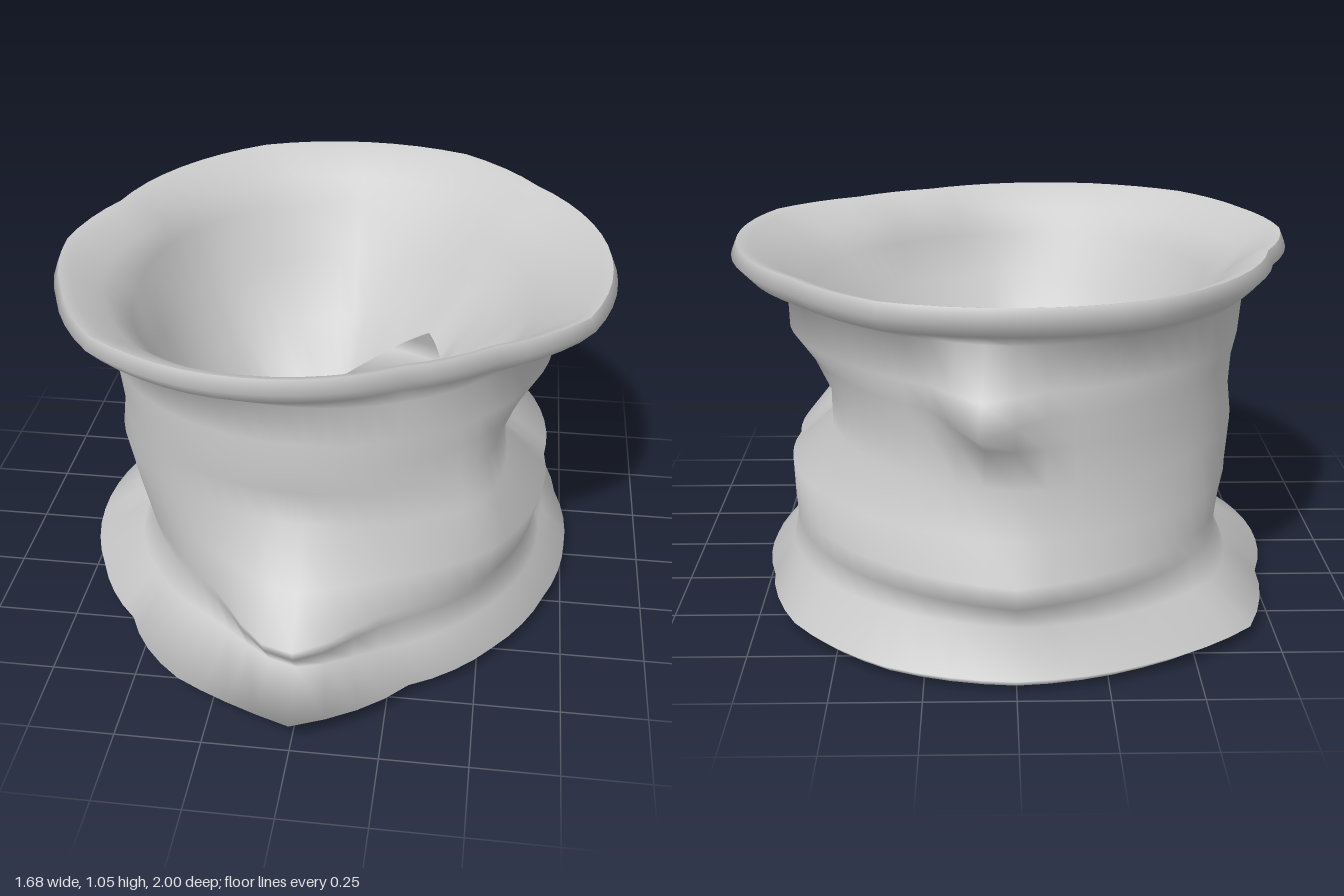
import * as THREE from 'three';

const SEG = 64;
const material = new THREE.MeshStandardMaterial({ color: 0xcccccc, side: THREE.DoubleSide });

// Radii are evenly spaced by angle, starting at the front (+z) and turning to +x.
const RIM = [.76, .71, .73, .83, .84, .85, .86, .93, .93, .93, .87, .81, .84, .83, .85, .81];
const FOOT = [1.0, .81, .77, .75, .76, .79, .89, .95, .97, .95, .95, .81, .79, .77, .78, .91];
const SOLE = [.71, .72, .72, .72, .73, .75, .85, .9, .92, .9, .89, .77, .74, .72, .71, .7];
const HOLE = [.35, .3, .25, .21, .2, .35, .39, .32, .32, .31, .37, .36, .33, .32, .31, .33];
const scaled = (list, s) => list.map((r) => r * s);

function valueAt(list, t) {
  const f = t * list.length, i = Math.floor(f);
  return THREE.MathUtils.lerp(list[i % list.length], list[(i + 1) % list.length], f - i);
}

// Soft bump around an angle in degrees
function bump(t, centre, width) {
  const d = ((t * 360 - centre + 540) % 360) - 180;
  return Math.exp(-((d / width) ** 2));
}

// One closed loop of points; y may vary by angle like r.
// lift raises the front, nose and spike pull out the front and back.
function ring({ y, r, lift = 0, nose = 0, spike = 0 }) {
  const heights = [y].flat();
  return Array.from({ length: SEG }, (_, j) => {
    const t = j / SEG, a = t * Math.PI * 2;
    const rad = valueAt(r, t) + nose * bump(t, 358, 13) + spike * bump(t, 174, 6);
    return [rad * Math.sin(a), valueAt(heights, t) + lift * bump(t, 350, 24), rad * Math.cos(a)];
  });
}

function mesh(name, points, index) {
  const g = new THREE.BufferGeometry();
  g.setAttribute('position', new THREE.Float32BufferAttribute(points.flat(), 3));
  g.setIndex(index);
  g.computeVertexNormals();
  const m = new THREE.Mesh(g, material);
  m.name = name;
  return m;
}

function skin(name, levels) {
  const index = [];
  for (let i = 0; i < levels.length - 1; i++) {
    for (let j = 0; j < SEG; j++) {
      const k = (j + 1) % SEG, a = i * SEG, b = a + SEG;
      index.push(a + j, a + k, b + j, a + k, b + k, b + j);
    }
  }
  return mesh(name, levels.flatMap(ring), index);
}

// Flat disc facing down
function base(name, level) {
  const index = [];
  for (let j = 0; j < SEG; j++) index.push(SEG, (j + 1) % SEG, j);
  return mesh(name, [...ring(level), [0, level.y, 0]], index);
}

export function createModel() {
  const group = new THREE.Group();
  group.name = 'crumpledPot';

  const sole = { y: 0, r: SOLE };
  const lip = { y: 1.05, r: scaled(RIM, .98) };

  // Flared foot, folded waist and flared rim
  group.add(skin('outerWall', [
    sole,
    { y: .04, r: FOOT, lift: .06 },
    { y: .13, r: [.76, .7, .67, .77, .84, .8, .61, .66], lift: .04, nose: .08 },
    { y: .23, r: [.76, .7, .63, .78, .93, .77, .55, .63], lift: .02, nose: .15 },
    { y: .29, r: [.77, .73, .64, .78, .93, .77, .57, .64], nose: .16 },
    { y: .39, r: [.72, .74, .67, .75, .86, .77, .62, .65], nose: .07 },
    { y: .53, r: [.66, .69, .5, .67, .84, .75, .66, .67] },
    { y: .64, r: [.67, .66, .5, .67, .83, .75, .64, .67], spike: .02 },
    { y: .73, r: [.68, .66, .59, .69, .84, .75, .65, .68], spike: .18 },
    { y: .8, r: [.67, .66, .67, .72, .83, .76, .67, .68], spike: .1 },
    { y: .92, r: [.67, .66, .67, .73, .81, .77, .68, .69] },
    { y: .965, r: scaled(RIM, .95) },
    { y: 1.01, r: RIM },
    lip,
  ]));

  // Funnel that narrows to a ragged, tilted opening above the base
  group.add(skin('innerFunnel', [
    lip,
    { y: 1.04, r: scaled(RIM, .94) },
    { y: .98, r: scaled(RIM, .83) },
    { y: .9, r: [.6, .58, .6, .64, .72, .69, .61, .62] },
    { y: [.76, .77, .78, .8, .75, .73, .72, .74], r: [.55, .52, .49, .56, .64, .61, .55, .56] },
    { y: [.62, .64, .67, .72, .58, .55, .52, .58], r: [.46, .4, .35, .47, .5, .5, .45, .45] },
    { y: [.48, .52, .58, .65, .45, .38, .35, .42], r: HOLE },
  ]));

  group.add(base('base', sole));
  return group;
}
